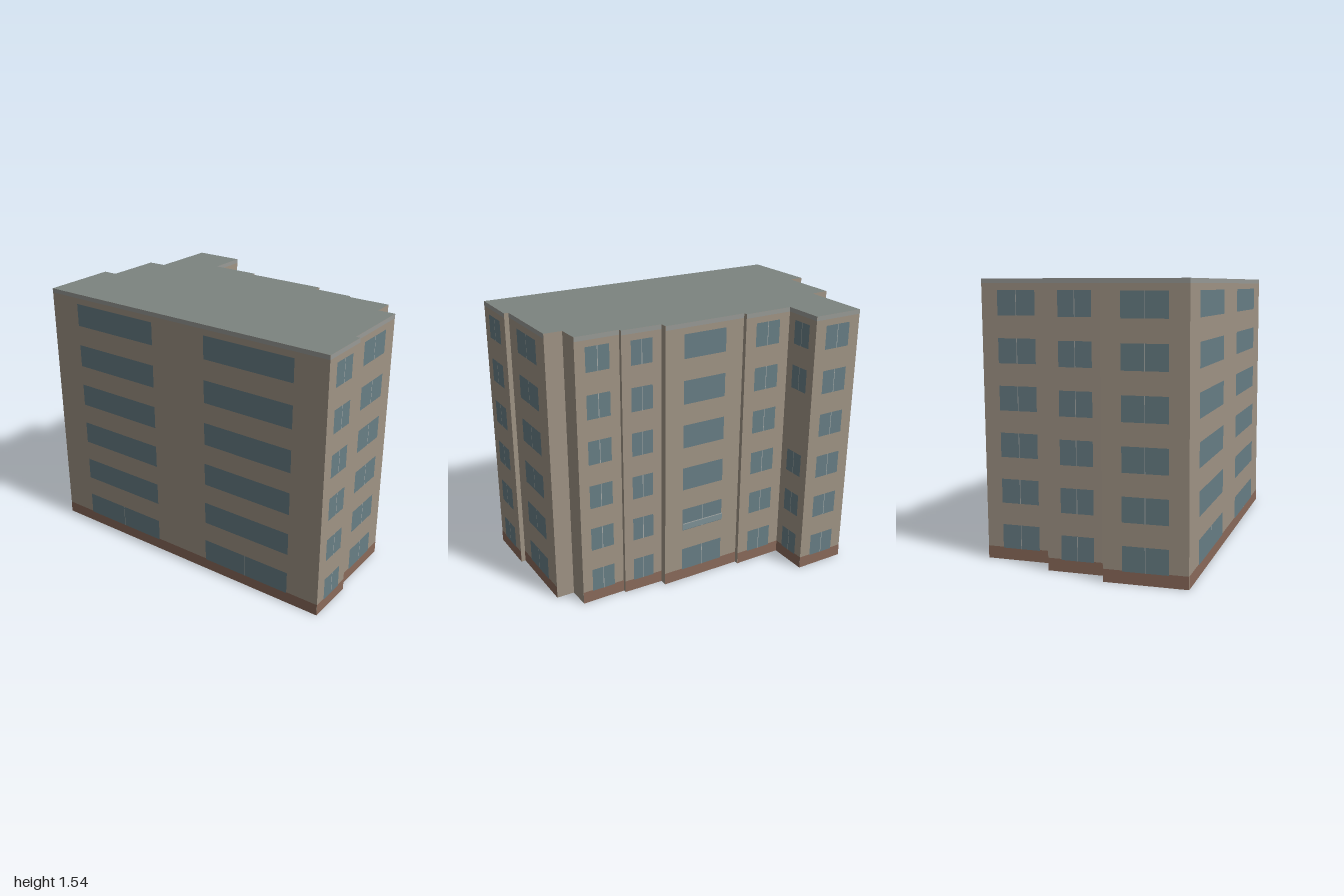
import * as THREE from 'three';

const HEIGHT = 1.545, PLINTH = 0.07, TRIM = 0.025;
const FLOORS = 6, FLOOR_PITCH = 0.257, SILL = 0.065, WINDOW_H = 0.135;

const paint = (color, side = THREE.FrontSide) => new THREE.MeshStandardMaterial({ color, side });
const wallMat = paint(0xa09485, THREE.DoubleSide);
const roofMat = paint(0x7c8480, THREE.DoubleSide);
const plinthMat = paint(0x8a6a5a);
const trimMat = paint(0x989a96);
const glassMat = paint(0x687e85);
const mullionMat = paint(0xa5aaa8);
const railMat = paint(0x7d9196, THREE.DoubleSide);

// Footprint corners [x, z], anticlockwise from above. The wall that starts at a
// corner is blank unless the corner carries facade options.
const one = [[0.23, 0.77]];
const footprint = [
  { p: [-0.114, 0.995], windows: one },
  { p: [0.175, 0.9] },
  { p: [0.167, 0.875], windows: one },
  { p: [0.602, 0.73] },
  { p: [0.572, 0.633] },
  { p: [0.692, 0.592], windows: one },
  { p: [0.614, 0.352] },
  { p: [0.63, 0.345], windows: one },
  { p: [0.564, 0.121] },
  { p: [0.603, 0.108], windows: one, mullionFloors: 2, balcony: true },
  { p: [0.455, -0.358] },
  { p: [0.477, -0.366], windows: one },
  { p: [0.386, -0.645], windows: one, skipFloor: 3 },
  { p: [0.603, -0.715], windows: one },
  { p: [0.512, -1.0], windows: one },
  { p: [0.128, -0.88] },
  { p: [0.09, -0.982], windows: one },
  { p: [-0.235, -0.88] },
  { p: [-0.262, -0.962], windows: one },
  { p: [-0.696, -0.82], windows: [[0.105, 0.405], [0.595, 0.895]], mullionFloors: 1 },
];

// Flat rectangle on a wall, given by its left, bottom, size and distance outward
function panel(parent, name, material, x, y, w, h, out) {
  const mesh = new THREE.Mesh(new THREE.PlaneGeometry(w, h), material);
  mesh.name = name;
  mesh.position.set(x + w / 2, y + h / 2, out);
  parent.add(mesh);
}

function makeWall(corner, next) {
  const dx = next.p[0] - corner.p[0], dz = next.p[1] - corner.p[1];
  const length = Math.hypot(dx, dz);
  const wall = new THREE.Group();
  wall.name = corner.windows ? 'facade' : 'returnWall';
  wall.position.set(corner.p[0], 0, corner.p[1]);
  wall.rotation.y = Math.atan2(-dz, dx);
  panel(wall, 'wall', wallMat, 0, 0, length, HEIGHT, 0);
  if (!corner.windows) return wall;

  panel(wall, 'plinth', plinthMat, 0, 0, length, PLINTH, 0.001);
  panel(wall, 'roofTrim', trimMat, 0, HEIGHT - TRIM, length, TRIM, 0.001);

  // Window columns, one pane set per floor
  const mullionFloors = corner.mullionFloors ?? FLOORS;
  for (const [a, b] of corner.windows) {
    const x = a * length, w = (b - a) * length;
    for (let floor = 0; floor < FLOORS; floor++) {
      if (floor === corner.skipFloor) continue;
      const y = SILL + floor * FLOOR_PITCH;
      panel(wall, 'window', glassMat, x, y, w, WINDOW_H, 0.002);
      if (floor < mullionFloors) {
        panel(wall, 'mullion', mullionMat, x + w / 2 - 0.002, y, 0.004, WINDOW_H, 0.003);
      }
    }
    // Shallow glazed balcony on the second floor
    if (corner.balcony) {
      const y = SILL + FLOOR_PITCH;
      panel(wall, 'balconyGlass', railMat, x, y + 0.008, w, 0.035, 0.01);
      panel(wall, 'balconyRail', mullionMat, x, y + 0.043, w, 0.006, 0.01);
    }
  }
  return wall;
}

export function createModel() {
  const building = new THREE.Group();
  building.name = 'apartmentBlock';

  footprint.forEach((corner, i) => {
    building.add(makeWall(corner, footprint[(i + 1) % footprint.length]));
  });

  // Flat roof over the whole footprint
  const outline = new THREE.Shape(footprint.map(({ p }) => new THREE.Vector2(p[0], -p[1])));
  const roof = new THREE.Mesh(new THREE.ShapeGeometry(outline).rotateX(-Math.PI / 2), roofMat);
  roof.name = 'roof';
  roof.position.y = HEIGHT;
  building.add(roof);

  return building;
}
